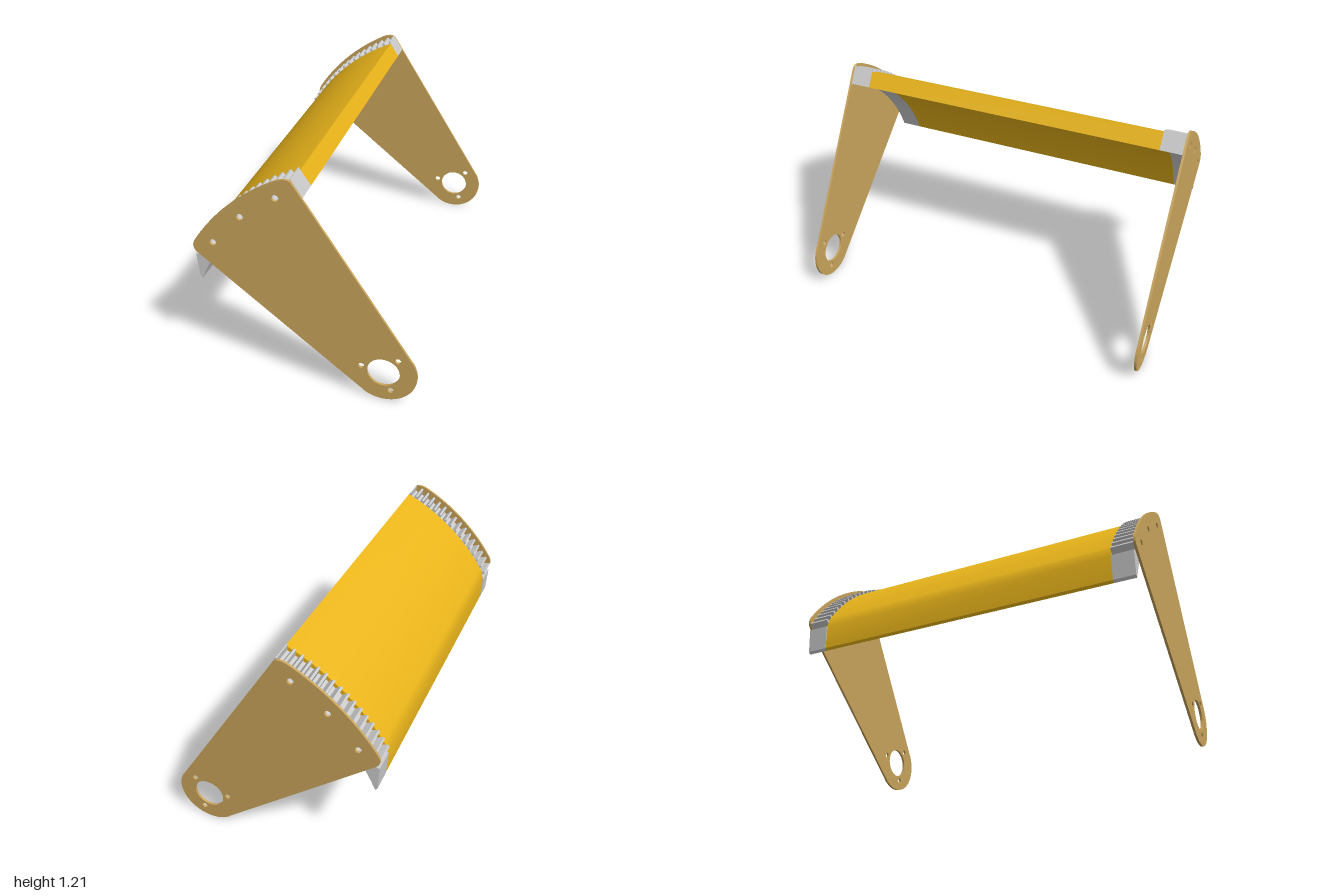
import * as THREE from 'three';
import { toCreasedNormals } from 'three/addons/utils/BufferGeometryUtils.js';

const PX = 0.4, PY = 0.175;          // pivot axis of the swinging cover
const rad = THREE.MathUtils.degToRad;
const polar = (r, deg) => [PX + r * Math.cos(rad(deg)), PY + r * Math.sin(rad(deg))];
const boltHoles = [[-0.127, 1.105], [-0.312, 0.972], [-0.465, 0.802]];
const INNER = 1.024;

function addHole(shape, x, y, r) {
  const hole = new THREE.Path();
  hole.absarc(x, y, r, 0, Math.PI * 2, true);
  shape.holes.push(hole);
}

// Extrude a side profile between two z positions
function slab(name, shape, z0, z1, color) {
  const geo = new THREE.ExtrudeGeometry(shape, { depth: z1 - z0, bevelEnabled: false, curveSegments: 24 });
  geo.translate(0, 0, z0);
  const mesh = new THREE.Mesh(toCreasedNormals(geo, rad(25)), new THREE.MeshStandardMaterial({ color }));
  mesh.name = name;
  return mesh;
}

// Sector-shaped arm plate with pivot eye and bolt holes
function armShape() {
  const s = new THREE.Shape();
  s.moveTo(0.546, 0.268);
  s.lineTo(-0.044, 1.196);
  s.quadraticCurveTo(-0.062, 1.22, ...polar(1.147, 116.9));
  s.absarc(PX, PY, 1.147, rad(116.9), rad(146.9), false);
  s.quadraticCurveTo(-0.587, 0.757, -0.555, 0.729);
  s.lineTo(0.291, 0.041);
  s.absarc(PX, PY, 0.174, rad(230.9), rad(392.4), false);
  addHole(s, PX, PY, 0.085);
  for (const [x, y] of [[0.285, 0.195], [0.475, 0.265], [0.44, 0.066]]) addHole(s, x, y, 0.016);
  for (const [x, y] of boltHoles) addHole(s, x, y, 0.018);
  return s;
}

// Close a profile along the concave underside
function closeInside(s) {
  s.lineTo(...polar(INNER, 157.8));
  s.absarc(PX, PY, INNER, rad(157.8), rad(112.7), true);
  s.closePath();
  for (const [x, y] of boltHoles) addHole(s, x, y, 0.018);
  return s;
}

// Curved cover with a flat lower lip
function coverShape() {
  const s = new THREE.Shape();
  s.moveTo(...polar(INNER, 112.7));
  s.lineTo(...polar(1.115, 113.5));
  s.absarc(PX, PY, 1.115, rad(113.5), rad(148.3), false);
  s.lineTo(-0.562, 0.71);
  s.lineTo(-0.558, 0.575);
  return closeInside(s);
}

// Toothed rack segment ending in a plain block
function rackShape() {
  const s = new THREE.Shape();
  const teeth = 16, first = 113.6, pitch = 2.367;
  s.moveTo(...polar(INNER, 112.7));
  for (let i = 0; i < teeth; i++) {
    const a = first + i * pitch;
    if (i > 0) {
      s.lineTo(...polar(1.094, a - 0.75));
      s.lineTo(...polar(1.13, a - 0.3));
    } else {
      s.lineTo(...polar(1.13, a));
    }
    s.lineTo(...polar(1.13, a + 0.3));
    s.lineTo(...polar(1.094, a + 0.75));
  }
  s.lineTo(-0.555, 0.71);
  s.lineTo(-0.569, 0.71);
  s.lineTo(-0.559, 0.575);
  return closeInside(s);
}

export function createModel() {
  const group = new THREE.Group();
  group.name = 'swingingCover';
  group.add(slab('curvedCover', coverShape(), -0.868, 0.868, 0xeab51a));

  // Rack and arm plate at each end
  const ends = [['front', 1], ['back', -1]];
  for (const [side, k] of ends) {
    const span = (a, b) => (k > 0 ? [a, b] : [-b, -a]);
    group.add(slab(side + 'ToothedRack', rackShape(), ...span(0.868, 0.987), 0xcccccc));
    group.add(slab(side + 'ArmPlate', armShape(), ...span(0.987, 1), 0xc9a45c));
  }
  return group;
}
